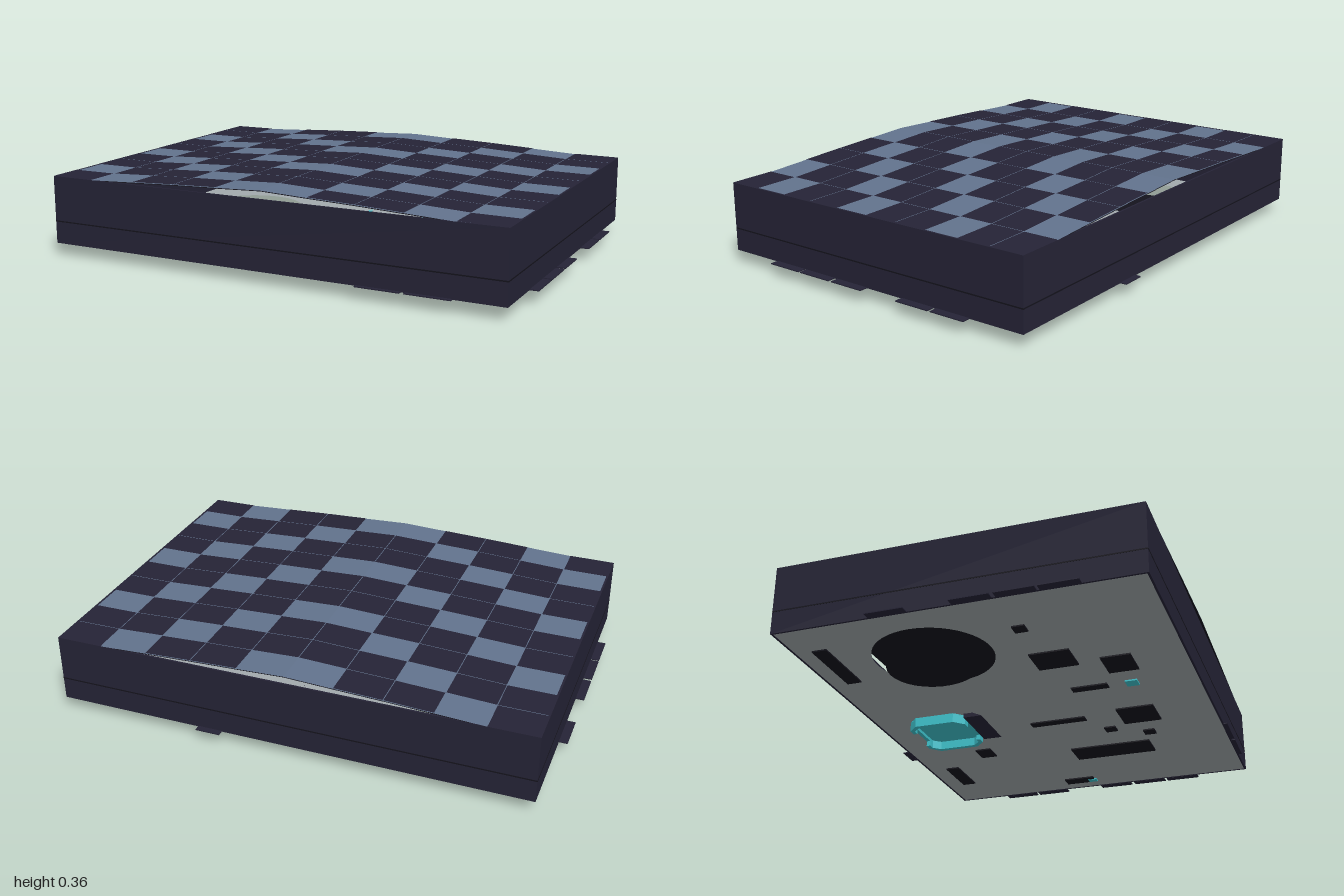
import * as THREE from 'three';
import { mergeGeometries } from 'three/addons/utils/BufferGeometryUtils.js';

const mat = (name, color, side = THREE.DoubleSide) =>
  Object.assign(new THREE.MeshStandardMaterial({ color, side }), { name });

// Roof height rises from flat outer tiles to a low central ridge
const PROFILE = [0.362, 0.354, 0.347, 0.338, 0.329, 0.328];
const W = 0.966, D = 0.71, N = 10;
const TILE_W = (2 * W) / N, TILE_D = (2 * D) / N;

export function createModel() {
  const navy = mat('navy', 0x252336);
  const slate = mat('slate blue', 0x62738d);
  const grey = mat('floor grey', 0xa2aaad);
  const teal = mat('teal', 0x40c6d0);
  const black = mat('near black', 0x14131c);
  const model = new THREE.Group();

  const add = (name, geo, material, x = 0, y = 0, z = 0) => {
    const mesh = new THREE.Mesh(geo, material);
    mesh.name = name;
    mesh.position.set(x, y, z);
    model.add(mesh);
    return mesh;
  };
  const box = (name, w, h, d, material, x, y, z) =>
    add(name, new THREE.BoxGeometry(w, h, d), material, x, y, z);

  // One roof tile, sloped to follow the profile
  const tile = (col, row, lift, gap) => {
    const x0 = -W + col * TILE_W, z0 = -D + row * TILE_D + gap, z1 = z0 + TILE_D - 2 * gap;
    const ya = PROFILE[Math.abs(col - 5)] + lift, yb = PROFILE[Math.abs(col - 4)] + lift;
    const g = new THREE.BufferGeometry();
    g.setAttribute('position', new THREE.Float32BufferAttribute(
      [x0 + gap, ya, z0, x0 + gap, ya, z1, x0 + TILE_W - gap, yb, z1, x0 + TILE_W - gap, yb, z0], 3));
    g.setIndex([0, 1, 2, 0, 2, 3]);
    g.computeVertexNormals();
    return g;
  };

  // Roof: dark lining, slate sheet, dark tiles above it in a mirrored diagonal pattern
  const lining = [], sheet = [], dark = [];
  for (let row = 0; row < N; row++) {
    for (let col = 0; col < N; col++) {
      lining.push(tile(col, row, -0.003, 0));
      sheet.push(tile(col, row, 0, 0));
      const fromEdge = Math.min(col, N - 1 - col);
      if (fromEdge % 3 !== (row + 1) % 3) dark.push(tile(col, row, 0.002, 0.0015));
    }
  }
  add('roofLining', mergeGeometries(lining), black);
  add('roofSheet', mergeGeometries(sheet), slate);
  add('darkRoofTiles', mergeGeometries(dark), navy);

  // Walls with a seam line
  const T = 0.008;
  for (const s of [-1, 1]) {
    box('endWall', T, 0.278, 2 * D, navy, s * (W - T / 2), 0.19, 0);
    box('longWall', 2 * W, 0.278, T, navy, 0, 0.19, s * (D - T / 2));
    box('endSeam', 0.002, 0.005, 2 * D, black, s * W, 0.143, 0);
    box('longSeam', 2 * W, 0.005, 0.002, black, 0, 0.143, s * D);
  }

  // Floor with a round opening
  const floor = new THREE.Shape([[-W, -D], [W, -D], [W, D], [-W, D]].map(p => new THREE.Vector2(...p)));
  floor.holes.push(new THREE.Path().absarc(-0.605, -0.215, 0.235, 0, Math.PI * 2, true));
  add('floor', new THREE.ShapeGeometry(floor, 24).rotateX(Math.PI / 2), grey, 0, 0.052, 0);

  // Tilted disc hanging below the opening
  const disc = add('hatchDisc', new THREE.CircleGeometry(0.178, 32).rotateX(Math.PI / 2), black, -0.605, 0.01, -0.215);
  disc.rotation.x = -0.055;

  // Thin sills projecting at the foot of the walls
  const sillZ = [-0.243, 0.078, 0.243, 0.403];
  sillZ.forEach(z => box('rightSill', 0.036, 0.004, 0.15, navy, -0.982, 0.052, z));
  [-0.405, ...sillZ].forEach(z => box('leftSill', 0.036, 0.004, 0.15, navy, 0.982, 0.052, z));
  box('backSill', 0.1, 0.004, 0.026, navy, 0.32, 0.052, -0.722);
  [0.48, 0.675].forEach(x => box('frontSill', 0.178, 0.004, 0.016, navy, x, 0.052, 0.717));

  // Teal bracket frame with chamfered corners under the floor
  const bar = [[0.07, 0.125], [0.105, 0.125], [0.145, 0.085], [0.145, -0.085], [0.105, -0.125], [0.07, -0.125],
    [0.07, -0.108], [0.098, -0.108], [0.125, -0.078], [0.125, 0.078], [0.098, 0.108], [0.07, 0.108]];
  for (const s of [-1, 1]) {
    const shape = new THREE.Shape(bar.map(([x, z]) => new THREE.Vector2(s * x, z)));
    const geo = new THREE.ExtrudeGeometry(shape, { depth: 0.04, bevelEnabled: false }).rotateX(Math.PI / 2);
    add('frameSide', geo, teal, 0.065, 0.052, -0.435);
    box('frameRail', 0.15, 0.018, 0.016, teal, 0.065, 0.043, -0.435 + s * 0.117);
  }
  box('framePanel', 0.25, 0.004, 0.22, teal, 0.065, 0.049, -0.435);

  // Dark wedge in front of the frame
  const wedge = new THREE.Shape([[0.23, 0.034], [0.31, 0.034], [0.31, 0.052], [0.27, 0.052]].map(p => new THREE.Vector2(...p)));
  add('frameWedge', new THREE.ExtrudeGeometry(wedge, { depth: 0.25, bevelEnabled: false }).rotateY(Math.PI / 2), navy, -0.06);

  // Small plates on the underside: x, z, width, depth
  const plates = [
    [0.625, -0.594, 0.22, 0.06], [-0.641, -0.603, 0.3, 0.06], [0.385, -0.375, 0.09, 0.07],
    [0.526, 0.184, 0.13, 0.36], [0.86, -0.07, 0.06, 0.14], [0.143, 0.045, 0.04, 0.24],
    [-0.44, 0.21, 0.14, 0.16], [-0.72, 0.17, 0.05, 0.05], [0.17, 0.39, 0.16, 0.16],
    [-0.33, 0.44, 0.14, 0.12], [-0.15, 0.27, 0.04, 0.15], [0.37, 0.39, 0.05, 0.05], [0.29, 0.237, 0.05, 0.05],
  ];
  plates.forEach(([x, z, w, d]) => box('undersidePlate', w, 0.006, d, black, x, 0.049, z));
  box('tealPlate', 0.05, 0.006, 0.05, teal, -0.145, 0.048, 0.443);
  box('tealPlate', 0.03, 0.006, 0.04, teal, 0.87, 0.047, -0.01);

  return model;
}
